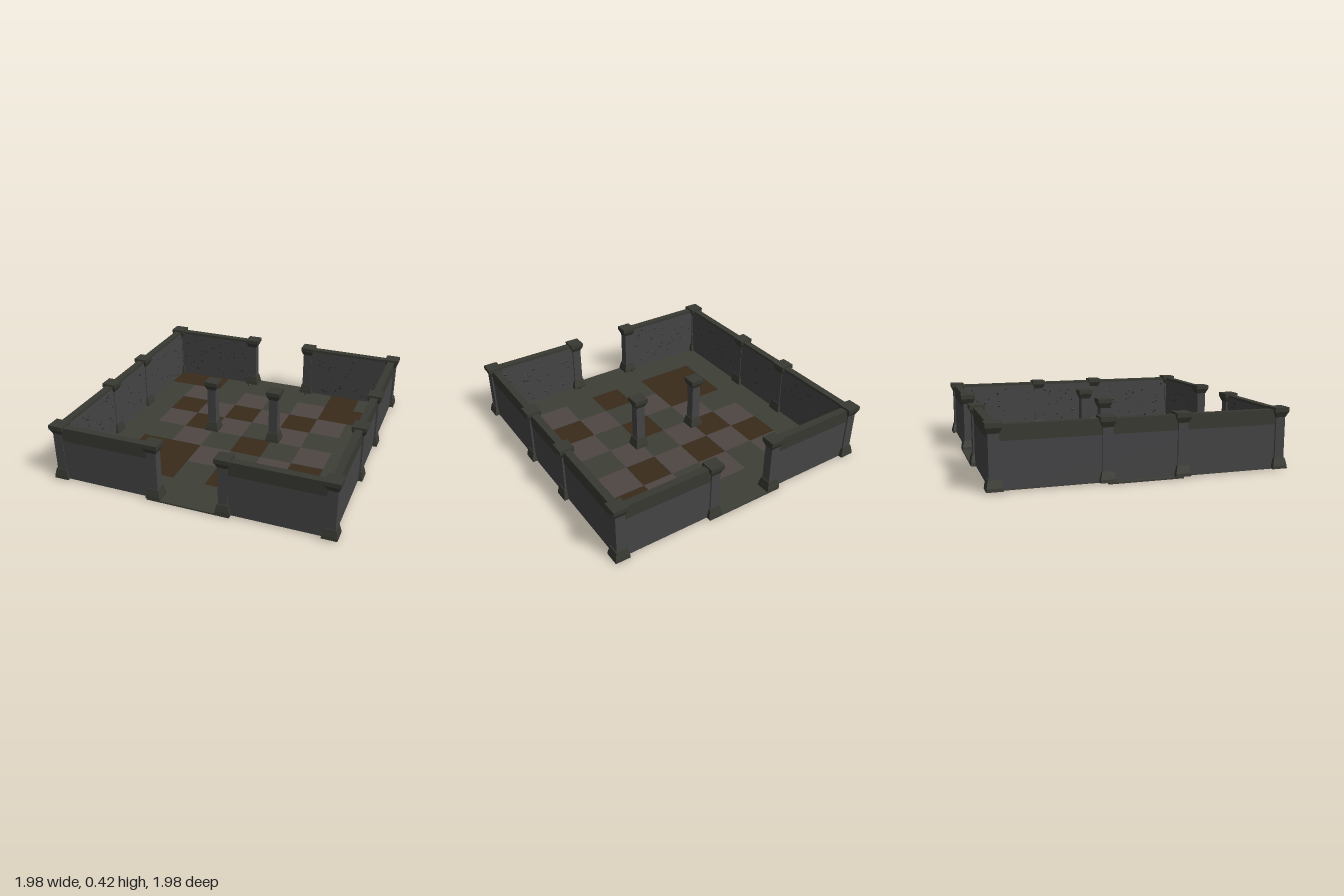
import * as THREE from 'three';

const mat = (color) => new THREE.MeshStandardMaterial({ color, flatShading: true });
const stone = mat(0x444446), trim = mat(0x383931), moss = mat(0x3d3e36);
const rose = mat(0x4e4643), earth = mat(0x392b1b), dark = mat(0x2c2c2d);

export function createModel() {
  const root = new THREE.Group();

  const box = (name, material, x0, x1, y0, y1, z0, z1, parent = root) => {
    const m = new THREE.Mesh(new THREE.BoxGeometry(x1 - x0, y1 - y0, z1 - z0), material);
    m.position.set((x0 + x1) / 2, (y0 + y1) / 2, (z0 + z1) / 2);
    m.name = name;
    parent.add(m);
    return m;
  };

  // square block with different widths at bottom and top
  const taper = (name, material, wBottom, wTop, y0, y1, parent) => {
    const g = new THREE.CylinderGeometry(wTop * Math.SQRT1_2, wBottom * Math.SQRT1_2, y1 - y0, 4);
    g.rotateY(Math.PI / 4);
    const m = new THREE.Mesh(g, material);
    m.position.y = (y0 + y1) / 2;
    m.name = name;
    parent.add(m);
  };

  // checkered floor: G mossy stone, P rose stone, B bare earth
  const rows = ['BBGGGGBG', 'GPGPGPBB', 'GBPBPBPG', 'GPBPGPGG',
    'GGPGBGPG', 'GBBPGPBG', 'GBBGBGPG', 'GGGGGGGB'];
  const kinds = { G: [moss, 0.01], P: [rose, 0.01], B: [earth, 0.007] };
  const floor = new THREE.Group();
  floor.name = 'floor';
  root.add(floor);
  const s = 0.234;
  rows.forEach((row, j) => [...row].forEach((k, i) => {
    const x = (i - 4) * s, z = (j - 4) * s - 0.003;
    box('floorTile', kinds[k][0], x, x + s, 0, kinds[k][1], z, z + s, floor);
  }));

  // doorsteps
  box('frontDoorstep', moss, -0.29, 0.29, 0, 0.01, 0.933, 0.985);
  box('backDoorstep', moss, -0.29, 0.29, 0, 0.01, -0.995, -0.939);
  box('sideDoorstep', moss, -0.992, -0.936, 0, 0.01, -0.25, 0.245);

  // seeded numbers for the rough inner masonry
  let seed = 7;
  const rand = () => (seed = (seed * 16807) % 2147483647) / 2147483647;
  const chip = new THREE.IcosahedronGeometry(1, 0);

  // wall built along x with its outer face toward +z
  const wall = (name, length, x, z, turn) => {
    const g = new THREE.Group();
    g.name = name;
    const h = length / 2;
    box('wallBody', stone, -h, h, 0.01, 0.395, -0.024, 0.024, g);
    box('outerBand', trim, -h, h, 0.305, 0.402, 0.015, 0.026, g);
    box('coping', trim, -h, h, 0.385, 0.403, -0.025, 0.026, g);
    const n = Math.round(length * 45);
    const chips = new THREE.InstancedMesh(chip, dark, n);
    const d = new THREE.Object3D();
    for (let i = 0; i < n; i++) {
      d.position.set((rand() - 0.5) * (length - 0.12), 0.04 + rand() * 0.32, -0.024);
      d.scale.set(0.006 + rand() * 0.01, 0.004 + rand() * 0.006, 0.004);
      d.rotation.z = rand() - 0.5;
      d.updateMatrix();
      const m = new THREE.Mesh(chip, dark);
      m.name = 'wallChip';
      m.position.copy(d.position);
      m.scale.copy(d.scale);
      m.rotation.copy(d.rotation);
      g.add(m);
    }
    chips.dispose();
    g.position.set(x, 0, z);
    g.rotation.y = turn;
    root.add(g);
  };
  for (const side of [-1, 1]) {
    wall('frontWall', 0.69, side * 0.592, 0.938, 0);
    wall('backWall', 0.69, side * 0.592, -0.942, Math.PI);
    wall('sideWall', 1.88, side * 0.937, -0.003, side * Math.PI / 2);
  }

  // square columns with flared base and capital
  const column = (x, z) => {
    const g = new THREE.Group();
    g.name = 'column';
    taper('columnFoot', trim, 0.104, 0.1, 0.01, 0.03, g);
    taper('columnBase', trim, 0.1, 0.078, 0.03, 0.08, g);
    taper('columnShaft', stone, 0.066, 0.066, 0.07, 0.36, g);
    taper('columnNeck', trim, 0.068, 0.1, 0.352, 0.388, g);
    taper('columnCap', trim, 0.102, 0.102, 0.388, 0.417, g);
    g.position.set(x, 0, z);
    root.add(g);
  };
  for (const x of [-0.94, -0.245, 0.245, 0.94]) {
    column(x, 0.933);
    column(x, -0.943);
  }
  for (const z of [-0.25, 0.245]) column(-0.94, z);
  for (const z of [-0.262, 0.235]) column(0.94, z);
  for (const x of [-0.245, 0.245]) column(x, -0.048);

  // small pebbles inside the doorways
  for (const x of [-0.255, 0.255]) for (const z of [-0.862, 0.875]) {
    const m = new THREE.Mesh(chip, dark);
    m.name = 'pebble';
    m.scale.setScalar(0.01);
    m.position.set(x, 0.017, z);
    root.add(m);
  }
  return root;
}
